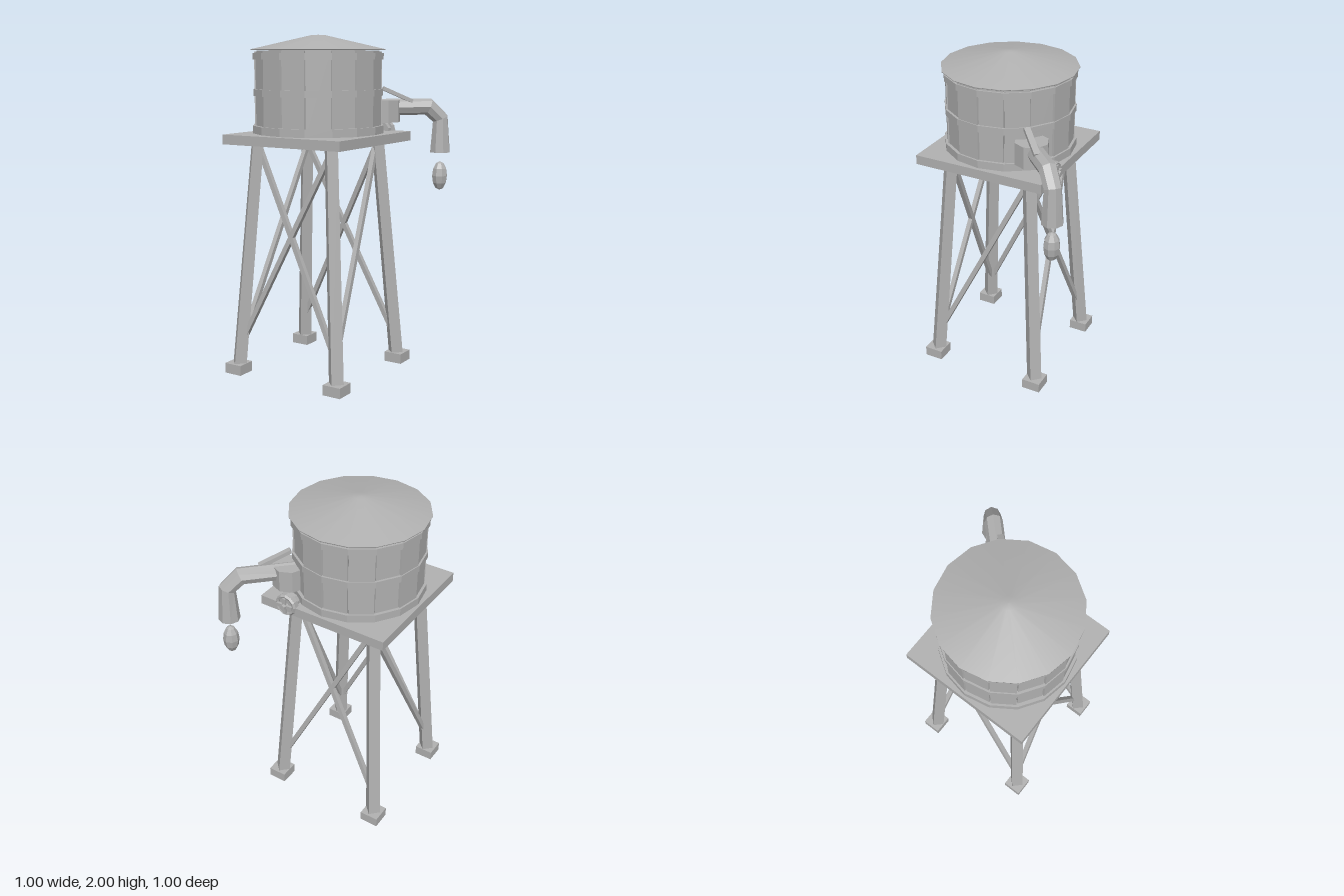
import * as THREE from 'three';

const SIDES = 16;
const grey = new THREE.MeshStandardMaterial({ color: 0xb0b0b0 });
grey.name = 'plain grey';
grey.flatShading = true;
const smoothGrey = grey.clone(); // same colour, smooth normals for the roof
smoothGrey.flatShading = false;

function add(parent, name, geometry, x = 0, y = 0, z = 0, material = grey) {
  const mesh = new THREE.Mesh(geometry, material);
  mesh.name = name;
  mesh.position.set(x, y, z);
  parent.add(mesh);
  return mesh;
}

// Stretches a geometry made along +y between two points
function between(parent, name, a, b, makeGeometry) {
  const from = new THREE.Vector3(...a), to = new THREE.Vector3(...b);
  const dir = to.clone().sub(from);
  const mid = from.clone().add(to).multiplyScalar(0.5);
  const mesh = add(parent, name, makeGeometry(dir.length()), mid.x, mid.y, mid.z);
  mesh.quaternion.setFromUnitVectors(new THREE.Vector3(0, 1, 0), dir.normalize());
  return mesh;
}

// Vertical drum between two heights
function drum(parent, name, radius, y0, y1, sides = SIDES, x = 0, z = 0) {
  return add(parent, name, new THREE.CylinderGeometry(radius, radius, y1 - y0, sides), x, (y0 + y1) / 2, z);
}

function buildStand(tower) {
  add(tower, 'platform', new THREE.BoxGeometry(0.8, 0.056, 0.8), 0, 1.403, 0);
  for (const sx of [-1, 1]) for (const sz of [-1, 1]) {
    add(tower, 'foot', new THREE.BoxGeometry(0.114, 0.06, 0.114), sx * 0.35, 0.03, sz * 0.35);
    // four-sided tapered leg, leaning inward
    const leg = add(tower, 'leg', new THREE.CylinderGeometry(0.044, 0.05, 1.34, 4), 0, 0.71, 0);
    leg.geometry.applyMatrix4(new THREE.Matrix4().set(
      1, -sx * 0.067, 0, sx * 0.3,
      0, 1, 0, 0,
      0, -sz * 0.067, 1, sz * 0.3,
      0, 0, 0, 1));
  }
  const bar = (length) => new THREE.BoxGeometry(0.028, length, 0.028);
  const low = 0.33, high = 0.245, yLow = 0.19, yHigh = 1.34;
  for (const s of [-1, 1]) {
    // crossed braces on front and back
    for (const m of [-1, 1])
      between(tower, 'crossBrace', [m * low, yLow, s * low], [-m * high, yHigh, s * high], bar);
    // single braces on the sides
    between(tower, 'sideBrace', [s * low, yLow, low], [s * high, yHigh, -high], bar);
  }
}

function buildTank(tower) {
  drum(tower, 'tankCore', 0.36, 1.43, 1.91);
  // staves, some standing slightly proud
  const offsets = [0, 0.005, -0.003, 0.004];
  for (let i = 0; i < SIDES; i++) {
    const angle = (i + 0.5) / SIDES * Math.PI * 2;
    const r = 0.349 + offsets[(i * 3) % 4];
    const stave = add(tower, 'stave', new THREE.BoxGeometry(0.138, 0.47, 0.03),
      Math.sin(angle) * r, 1.67, Math.cos(angle) * r);
    stave.rotation.y = angle;
  }
  for (const [y0, y1, r] of [[1.435, 1.48, 0.387], [1.652, 1.69, 0.382], [1.858, 1.895, 0.384]])
    drum(tower, 'hoop', r, y0, y1);
  const profile = [[0, 1.91], [0.395, 1.913], [0.395, 1.917], [0.04, 1.998], [0, 2]]
    .map(([x, y]) => new THREE.Vector2(x, y));
  add(tower, 'roof', new THREE.LatheGeometry(profile, SIDES), 0, 0, 0, smoothGrey);
}

// Bent pipe: an eight-sided cylinder whose rows follow the elbow
function pipeGeometry() {
  const rows = [ // distance, height, tilt in degrees, radius
    [0.33, 1.577, 90, 0.05], [0.675, 1.577, 67.5, 0.052],
    [0.752, 1.505, 22.5, 0.05], [0.754, 1.3, 0, 0.063],
  ];
  const geometry = new THREE.CylinderGeometry(1, 1, 1, 8, rows.length - 1);
  const p = geometry.attributes.position;
  for (let i = 0; i < p.count; i++) {
    const [s, y, tilt, r] = rows[Math.round((0.5 - p.getY(i)) * (rows.length - 1))];
    const a = THREE.MathUtils.degToRad(tilt), u = p.getX(i) * r;
    p.setXYZ(i, s + u * Math.cos(a), y + u * Math.sin(a), p.getZ(i) * r);
  }
  geometry.computeVertexNormals();
  return geometry;
}

function buildSpout(tower) {
  const spout = new THREE.Group();
  spout.name = 'spout';
  spout.rotation.y = Math.PI / 4; // points to the back corner
  tower.add(spout);
  add(spout, 'pipe', pipeGeometry());
  drum(spout, 'pipeCollar', 0.098, 1.49, 1.62, 8, 0.4, 0);
  between(spout, 'stay', [0.385, 1.69, 0.025], [0.565, 1.612, 0.025],
    (length) => new THREE.BoxGeometry(0.022, length, 0.035));
  const drop = add(spout, 'waterDrop', new THREE.SphereGeometry(1, 8, 6), 0.754, 1.156, 0);
  drop.scale.set(0.048, 0.088, 0.048);
}

function buildValve(tower) {
  const valve = new THREE.Group();
  valve.name = 'valve';
  valve.position.set(0.229, 1.43, -0.37);
  valve.rotation.x = -Math.PI / 2; // local +y points to the back
  tower.add(valve);
  drum(valve, 'valveBody', 0.055, -0.03, 0.03, 10);
  const rim = add(valve, 'wheelRim', new THREE.TorusGeometry(0.055, 0.012, 5, 12), 0, 0.03, 0);
  rim.rotation.x = Math.PI / 2;
  drum(valve, 'wheelBase', 0.066, 0, 0.03, 12);
  for (let i = 0; i < 2; i++) {
    const spoke = add(valve, 'spoke', new THREE.BoxGeometry(0.1, 0.014, 0.02), 0, 0.043, 0);
    spoke.rotation.y = i * Math.PI / 2;
  }
  drum(valve, 'hub', 0.018, 0.03, 0.067, 6);
}

export function createModel() {
  const model = new THREE.Group();
  model.name = 'waterTower';
  const tower = new THREE.Group();
  tower.name = 'tower';
  tower.position.set(-0.097, 0, 0.09);
  model.add(tower);
  buildStand(tower);
  buildTank(tower);
  buildSpout(tower);
  buildValve(tower);
  return model;
}
